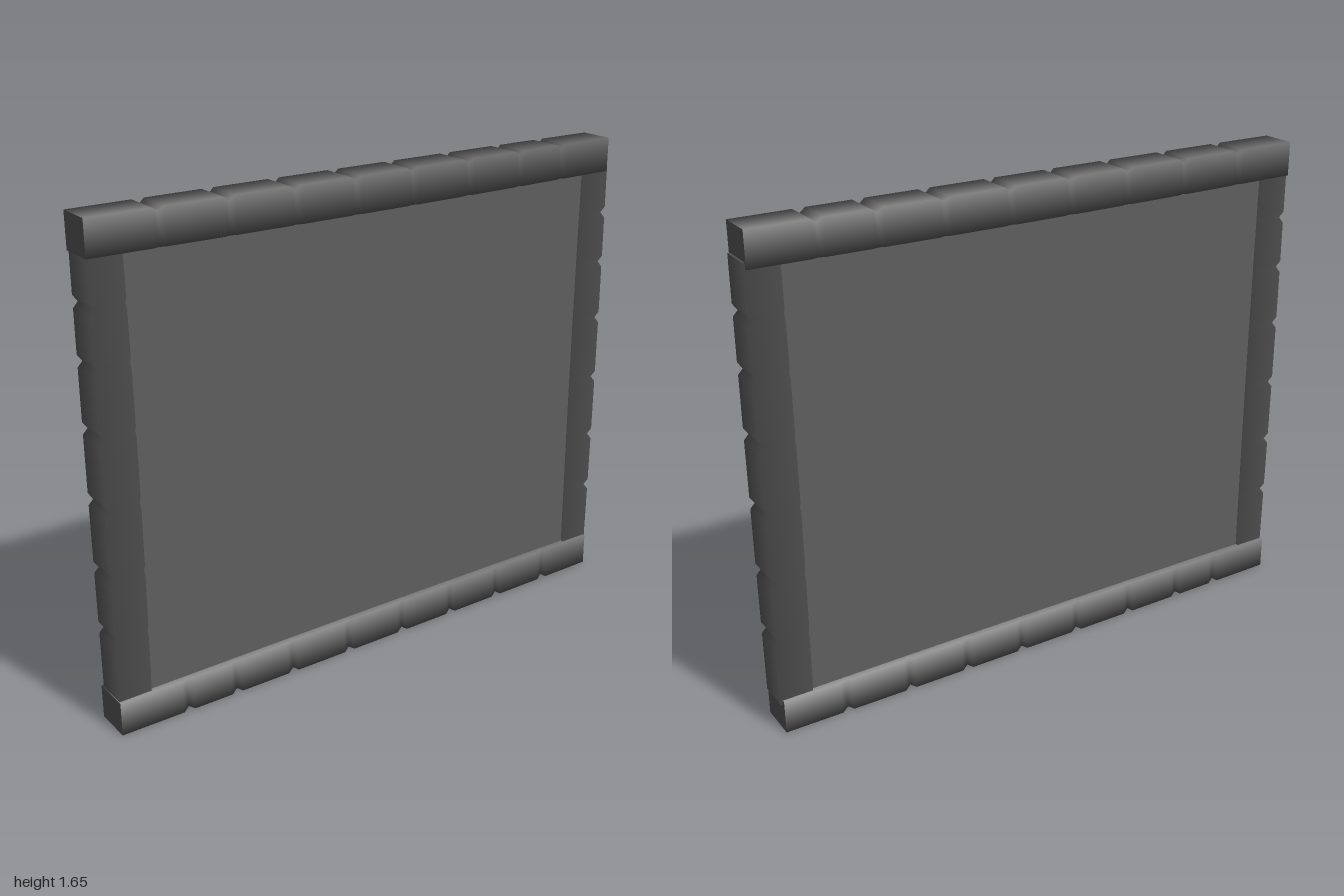
import * as THREE from 'three';

const frameMaterial = new THREE.MeshStandardMaterial({ color: 0x505050 });
frameMaterial.name = 'dark frame';
const panelMaterial = new THREE.MeshStandardMaterial({ color: 0x5e5e5e });
panelMaterial.name = 'grey panel';

// Square beam along y with its outer face at z = 0 (+z outward), nicked at each notch.
function beamGeometry(start, end, notches, halfWidth, depth) {
  const rings = [[start, 0]];
  for (const n of notches) rings.push([n - 0.02, 0], [n, 1], [n + 0.02, 0]);
  rings.push([end, 0]);

  const positions = [], normals = [], indices = [];
  const addRing = ([t, nick], endNormal) => {
    const bulge = 0.004 * Math.sin(Math.PI * (t - start) / (end - start));
    const w = halfWidth + bulge - nick * 0.007;
    const outer = -nick * 0.013, inner = -depth - bulge;
    positions.push(-w, t, outer, w, t, outer, w, t, inner, -w, t, inner);
    for (const [x, z] of [[-1, 1], [1, 1], [1, -1], [-1, -1]]) {
      if (endNormal) normals.push(0, endNormal, 0);
      else normals.push(x * Math.SQRT1_2, 0, z * Math.SQRT1_2);
    }
  };
  // Long sides, softly shaded round the corners
  rings.forEach((ring) => addRing(ring, 0));
  for (let k = 0; k < rings.length - 1; k++) {
    for (let j = 0; j < 4; j++) {
      const a = k * 4 + j, b = k * 4 + (j + 1) % 4;
      indices.push(a, b, b + 4, a, b + 4, a + 4);
    }
  }
  // Crisp flat ends
  const c = rings.length * 4;
  addRing(rings[0], -1);
  addRing(rings[rings.length - 1], 1);
  indices.push(c, c + 2, c + 1, c, c + 3, c + 2, c + 4, c + 5, c + 6, c + 4, c + 6, c + 7);

  const geometry = new THREE.BufferGeometry();
  geometry.setAttribute('position', new THREE.Float32BufferAttribute(positions, 3));
  geometry.setAttribute('normal', new THREE.Float32BufferAttribute(normals, 3));
  geometry.setIndex(indices);
  return geometry;
}

export function createModel() {
  const model = new THREE.Group();
  model.name = 'framedPanel';

  const add = (name, geometry, material) => {
    const mesh = new THREE.Mesh(geometry, material);
    mesh.name = name;
    model.add(mesh);
    return mesh;
  };

  // Upright posts
  const postGeometry = beamGeometry(0.1, 1.56, [0.33, 0.54, 0.77, 1.0, 1.21, 1.39], 0.055, 0.112);
  const front = add('frontPost', postGeometry, frameMaterial);
  front.position.z = 0.997;
  const back = add('backPost', postGeometry, frameMaterial);
  back.rotation.y = Math.PI;
  back.position.z = -0.997;

  // Top rail, running from front to back
  const topNotches = [-0.77, -0.54, -0.31, -0.09, 0.13, 0.36, 0.58, 0.77];
  const top = add('topRail', beamGeometry(-1, 0.99, topNotches, 0.061, 0.116), frameMaterial);
  top.rotation.x = -Math.PI / 2;
  top.position.y = 1.655;

  // Bottom rail, running from back to front
  const bottomNotches = [-0.77, -0.54, -0.32, -0.1, 0.13, 0.36, 0.58, 0.76];
  const bottom = add('bottomRail', beamGeometry(-0.99, 1, bottomNotches, 0.066, 0.115), frameMaterial);
  bottom.rotation.x = Math.PI / 2;

  // Thick panel filling the frame
  const panel = add('panel', new THREE.BoxGeometry(0.09, 1.45, 1.79), panelMaterial);
  panel.position.y = 0.825;

  return model;
}
